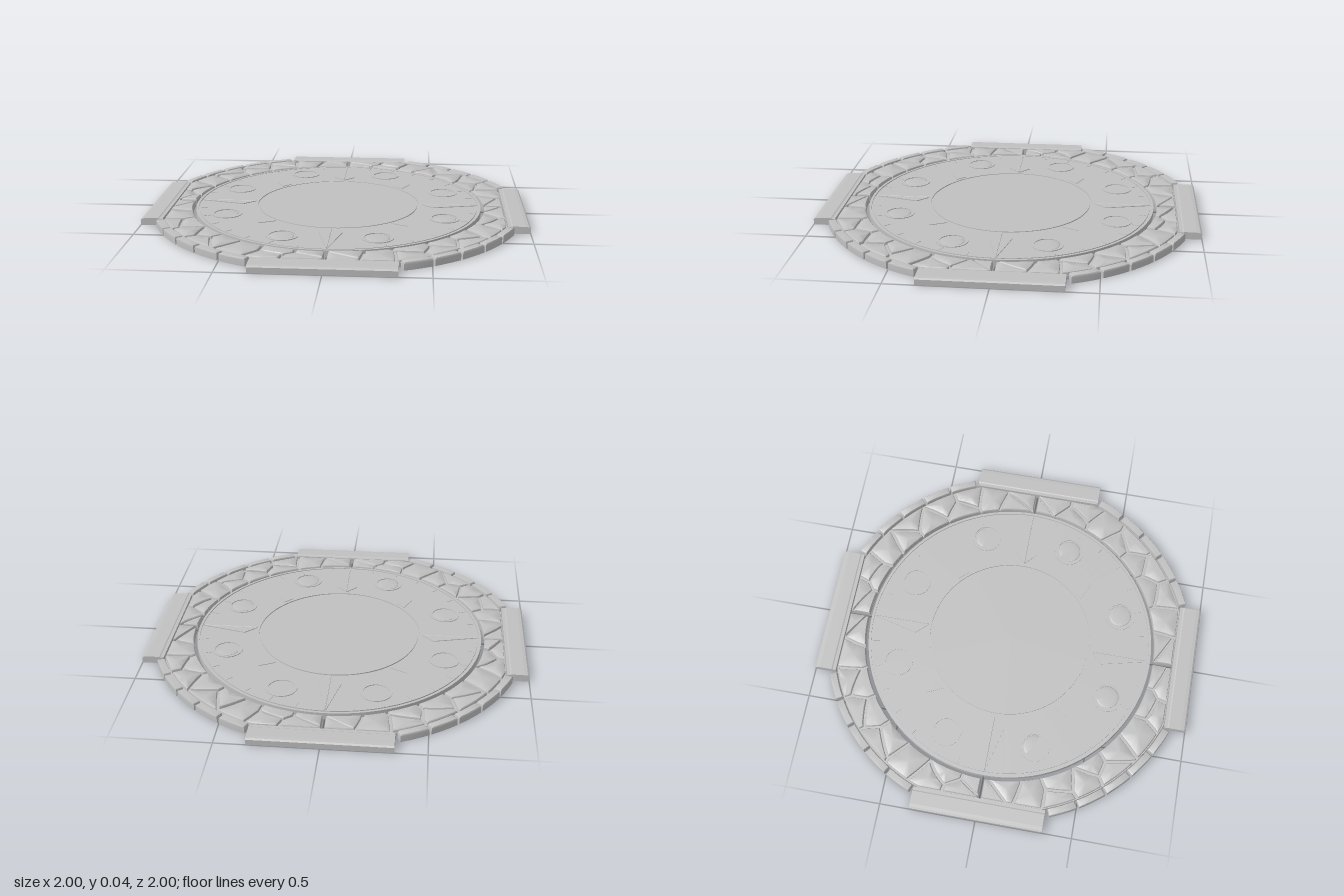
import * as THREE from 'three';
import { toCreasedNormals } from 'three/addons/utils/BufferGeometryUtils.js';

const stone = new THREE.MeshStandardMaterial({ color: 0xc0c0c0 });
stone.name = 'grey stone';
const TOP = 0.036;

let seed = 11;
const rnd = () => (seed = (seed * 16807) % 2147483647) / 2147483647;

function add(parent, name, geo, x = 0, y = 0, z = 0, turn = 0) {
  const m = new THREE.Mesh(geo, stone);
  m.name = name;
  m.position.set(x, y, z);
  m.rotation.y = turn;
  parent.add(m);
  return m;
}

// Flat plate whose outline lies in x, z, between two heights
function plate(points, y0, y1) {
  const shape = new THREE.Shape(points.map(p => new THREE.Vector2(p[0], p[1])));
  const g = new THREE.ExtrudeGeometry(shape, { depth: y1 - y0, bevelEnabled: false });
  return g.rotateX(Math.PI / 2).translate(0, y1, 0);
}

const lathe = (pts, n) => toCreasedNormals(
  new THREE.LatheGeometry(pts.map(p => new THREE.Vector2(p[0], p[1])), n), 0.5);

const ring = (r0, r1, y0, y1) =>
  lathe([[r0, y0], [r1, y0], [r1, y1], [r0, y1], [r0, y0]], 40);

// Rounded paving stone: loops of the outline shrink towards the top
function cobble(outline, height) {
  let area = 0, cx = 0, cz = 0;
  const n = outline.length;
  outline.forEach(([x, z], i) => {
    const q = outline[(i + 1) % n];
    area += x * q[1] - q[0] * z;
    cx += x / n;
    cz += z / n;
  });
  if (area < 0) outline.reverse();
  const loops = [[0, 0], [1, 0], [1, height - 0.010], [0.96, height - 0.003], [0.87, height], [0, height + 0.001]];
  const pos = [], idx = [];
  loops.forEach(([s, y], k) => outline.forEach(([x, z], i) => {
    pos.push(cx + (x - cx) * s, y, cz + (z - cz) * s);
    if (k === loops.length - 1) return;
    const a = k * n + i, b = k * n + (i + 1) % n;
    if (k > 0) idx.push(a, a + n, b);
    if (k < loops.length - 2) idx.push(b, a + n, b + n);
  }));
  const g = new THREE.BufferGeometry();
  g.setAttribute('position', new THREE.Float32BufferAttribute(pos, 3));
  g.setIndex(idx);
  return toCreasedNormals(g, 0.65);
}

// Keep the part of a polygon on the near side of the line between two sites
function clip(poly, s, t, gap) {
  const d = Math.hypot(t[0] - s[0], t[1] - s[1]);
  const nx = (t[0] - s[0]) / d, ny = (t[1] - s[1]) / d;
  const side = p => (p[0] - (s[0] + t[0]) / 2) * nx + (p[1] - (s[1] + t[1]) / 2) * ny + gap;
  const out = [];
  poly.forEach((p, i) => {
    const q = poly[(i + 1) % poly.length], a = side(p), b = side(q);
    if (a <= 0) out.push(p);
    if (a * b < 0) out.push([p[0] + (q[0] - p[0]) * a / (a - b), p[1] + (q[1] - p[1]) * a / (a - b)]);
  });
  return out;
}

const R0 = 0.78, ARC = 1.35, WIDE = 0.16;
// Unrolled paving coordinates to the ring, cut straight beside the edge bars
function toRing(u, v, quarter) {
  const a = (quarter + u / ARC) * Math.PI / 2;
  const c = Math.cos(a), s = Math.sin(a);
  const outer = Math.min(0.942, 0.884 / Math.max(Math.abs(c), Math.abs(s)));
  const r = R0 + (outer - R0) * v / WIDE;
  return [r * c, r * s];
}

function pavingQuarter(quarter) {
  const group = new THREE.Group();
  group.name = 'pavingQuarter';
  const sites = [];
  for (let i = 0; i < 8; i++) {
    const u = (i + 0.5) * ARC / 8;
    const single = i % 4 === 2;
    if (single) sites.push([u, WIDE * 0.5]);
    else for (const row of [0, 1]) {
      sites.push([u + (row - 0.5) * 0.07 + (rnd() - 0.5) * 0.06, WIDE * (0.24 + row * 0.52) + (rnd() - 0.5) * 0.035]);
    }
  }
  for (const s of sites) {
    let cell = [[0.01, 0.003], [ARC - 0.01, 0.003], [ARC - 0.01, WIDE - 0.005], [0.01, WIDE - 0.005]];
    for (const t of sites) if (t !== s) cell = clip(cell, s, t, 0.0065);
    if (cell.length < 3) continue;
    const outline = [];
    cell.forEach((p, i) => {
      const q = cell[(i + 1) % cell.length];
      const n = Math.max(1, Math.ceil(Math.hypot(q[0] - p[0], q[1] - p[1]) / 0.03));
      for (let k = 0; k < n; k++) {
        outline.push(toRing(p[0] + (q[0] - p[0]) * k / n, p[1] + (q[1] - p[1]) * k / n, quarter));
      }
    });
    add(group, 'pavingStone', cobble(outline, 0.036 + rnd() * 0.004));
  }
  // Sunken bed between the stones
  const bed = [];
  for (let i = 0; i <= 32; i++) bed.push(toRing(0.01 + (ARC - 0.02) * i / 32, 0.003, quarter));
  for (let i = 32; i >= 0; i--) bed.push(toRing(0.01 + (ARC - 0.02) * i / 32, WIDE, quarter));
  add(group, 'mortarBed', plate(bed, 0.010, 0.022));
  // Five curb stones on the rim
  for (let i = 0; i < 5; i++) {
    const a0 = (21.7 + i * 9.4) * Math.PI / 180, a1 = a0 + 8.7 * Math.PI / 180;
    const pts = [];
    for (const [r, from, to] of [[0.985, a0, a1], [0.947, a1, a0]]) {
      for (let k = 0; k <= 5; k++) {
        const a = from + (to - from) * k / 5 + quarter * Math.PI / 2;
        pts.push([r * Math.cos(a), r * Math.sin(a)]);
      }
    }
    add(group, 'curbStone', cobble(pts, 0.04));
  }
  return group;
}

export function createModel() {
  const model = new THREE.Group();
  model.name = 'stonePlatform';

  // Central disc with grooves above and rims below
  add(model, 'centralDisc', lathe([
    [0, 0.012], [0.405, 0.012], [0.412, 0.003], [0.43, 0.003], [0.437, 0.012],
    [0.715, 0.012], [0.72, 0.006], [0.735, 0.006], [0.742, 0], [0.765, 0],
    [0.765, TOP], [0.752, TOP], [0.752, TOP - 0.006], [0.745, TOP - 0.006], [0.745, TOP],
    [0.434, TOP], [0.434, TOP - 0.006], [0.426, TOP - 0.006], [0.426, TOP], [0, TOP]], 96));

  // Paving, curb and straight edge bars
  const barShape = new THREE.Shape([[0.887, 0], [1, 0], [1, 0.029], [0.992, 0.035], [0.975, 0.037],
    [0.91, 0.038], [0.904, 0.035], [0.887, 0.035]].map(p => new THREE.Vector2(...p)));
  const bar = new THREE.ExtrudeGeometry(barShape, { depth: 0.69, bevelEnabled: false }).translate(0, 0, -0.345);
  for (let q = 0; q < 4; q++) {
    model.add(pavingQuarter(q));
    add(model, 'edgeBar', bar, 0, 0, 0, q * Math.PI / 2);
  }

  // Compass points, small diagonal pointers and ticks
  const half = s => plate([[0.45, s * 0.002], [0.51, s * 0.058], [0.745, s * 0.002]], TOP - 0.002, TOP + 0.004);
  const ridge = new THREE.BoxGeometry(0.29, 0.006, 0.006).rotateX(Math.PI / 4).translate(0.595, TOP + 0.001, 0);
  const pointer = plate([[0.45, -0.032], [0.54, 0], [0.45, 0.032]], TOP - 0.002, TOP + 0.003);
  for (let q = 0; q < 4; q++) {
    const turn = q * Math.PI / 2;
    for (const s of [-1, 1]) add(model, 'compassPoint', half(s), 0, 0, 0, turn);
    add(model, 'compassRidge', ridge, 0, 0, 0, turn);
    add(model, 'diagonalPointer', pointer, 0, 0, 0, turn + Math.PI / 4);
  }
  const tick = new THREE.BoxGeometry(0.035, 0.004, 0.005).translate(0.72, TOP, 0);
  for (let i = 0; i < 32; i++) if (i % 8) add(model, 'tick', tick, 0, 0, 0, i * Math.PI / 16);

  // Eight round medallions, with domes that wax and wane around the disc
  const rim = ring(0.066, 0.08, TOP - 0.002, TOP + 0.004);
  const underRim = ring(0.07, 0.078, 0.010, 0.013);
  const phases = [[0.2, 5.2], [0, 2 * Math.PI], [-1.2, 5.2], [Math.PI + 0.3, 2.6], null, null, [Math.PI - 0.2, 2.6], null];
  const order = [0, 1, 2, 6, null, null, null, 3];
  for (let i = 0; i < 8; i++) {
    const a = (22.5 + 45 * i) * Math.PI / 180;
    const x = 0.615 * Math.cos(a), z = 0.615 * Math.sin(a);
    add(model, 'medallionRim', rim, x, 0, z);
    add(model, 'medallionUnderRim', underRim, x, 0, z);
    const phase = order[i] === null ? null : phases[order[i]];
    if (!phase) continue;
    const dome = new THREE.SphereGeometry(0.06, 24, 6, phase[0], phase[1], 0, Math.PI / 2).scale(1, 0.09, 1);
    add(model, 'medallionDome', dome, x, TOP, z);
  }
  return model;
}
